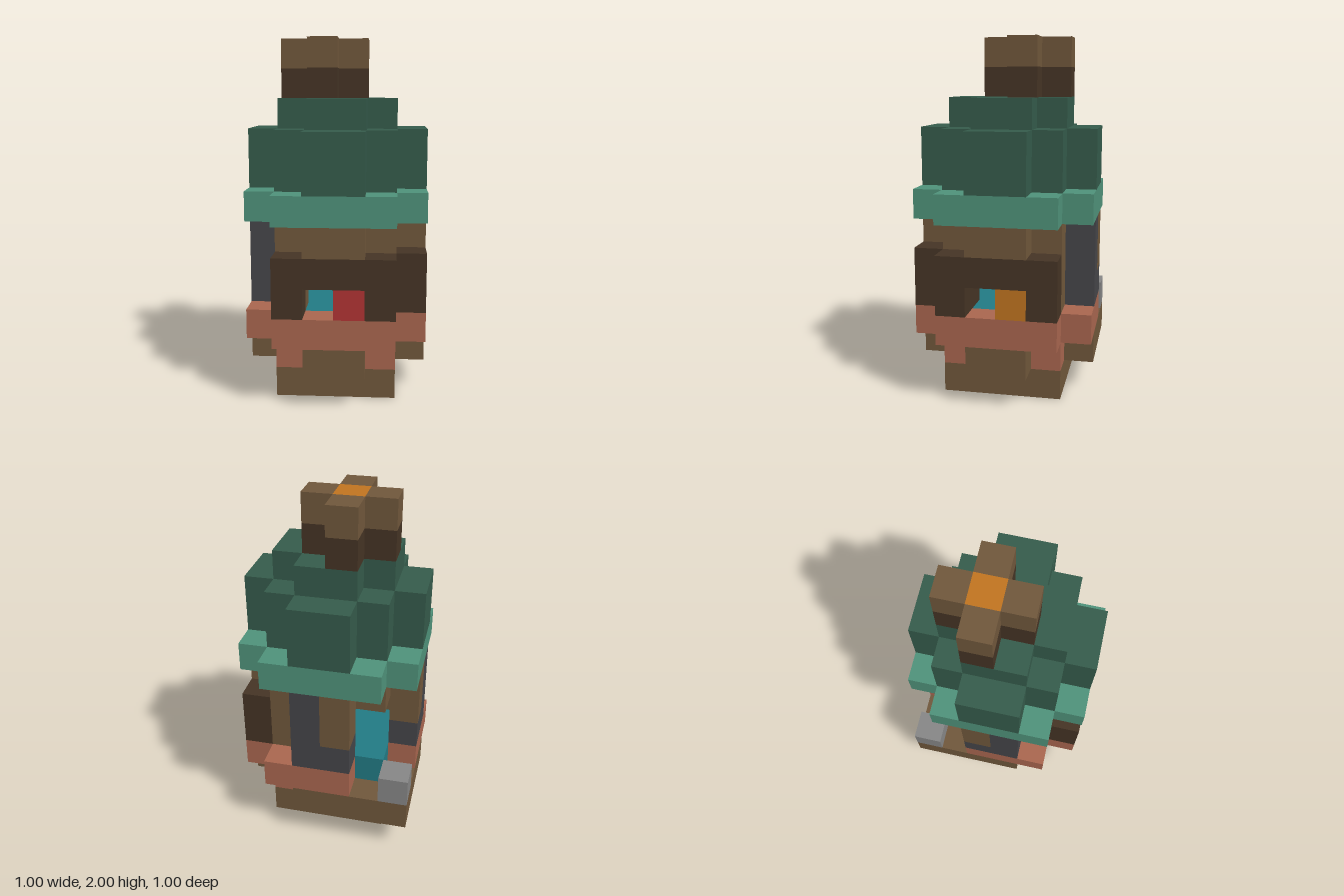
import * as THREE from 'three';

const U = 1 / 6; // one block

const mat = (name, color) => {
  const m = new THREE.MeshStandardMaterial({ color });
  m.name = name;
  return m;
};

export function createModel() {
  const root = new THREE.Group();
  root.name = 'blockTower';

  const brown = mat('brown wood', 0x70573b);
  const darkBrown = mat('dark brown wood', 0x453425);
  const green = mat('dark green roof', 0x355b4b);
  const mint = mat('light green trim', 0x4f927a);
  const clay = mat('clay', 0xa9664f);
  const slate = mat('dark grey stone', 0x454549);
  const grey = mat('light grey stone', 0x868686);
  const orange = mat('orange', 0xc07420);
  const red = mat('red', 0xb03434);
  const teal = mat('teal floor', 0x227a84);

  // Box from block ranges [from, to) in a 6 x 12 x 6 grid
  const box = (name, m, [x0, x1], [y0, y1], [z0, z1]) => {
    const g = new THREE.BoxGeometry((x1 - x0) * U, (y1 - y0) * U, (z1 - z0) * U);
    const mesh = new THREE.Mesh(g, m);
    mesh.name = name;
    mesh.position.set(((x0 + x1) / 2 - 3) * U, ((y0 + y1) / 2) * U, ((z0 + z1) / 2 - 3) * U);
    root.add(mesh);
  };
  // The same box twice, with x and z swapped for the second
  const pair = (name, m, a, y, b) => {
    box(name, m, a, y, b);
    box(name, m, b, y, a);
  };
  // Three corner posts; the fourth corner is the doorway
  const corners = (name, m, y) => {
    pair(name, m, [1, 2], y, [4, 5]);
    box(name, m, [4, 5], y, [4, 5]);
  };
  // Square core with four side bumps of the given span
  const cross = (name, m, y, span) => {
    box(name, m, [1, 5], y, [1, 5]);
    for (const edge of [[0, 1], [5, 6]]) pair(name + 'Side', m, span, y, edge);
  };

  // Base
  box('footing', brown, [1, 5], [0, 1], [1, 5]);
  box('baseCore', brown, [2, 4], [1, 2], [1, 5]);
  box('baseCoreRight', brown, [4, 5], [1, 2], [2, 4]);
  box('baseCoreLeft', brown, [1, 2], [1, 2], [1, 4]);
  pair('baseBump', brown, [2, 4], [1, 2], [5, 6]);
  box('doorstep', brown, [0, 4], [1, 2], [0, 1]);
  box('doorstep', brown, [0, 1], [1, 2], [1, 4]);
  corners('baseCorner', clay, [1, 2]);
  box('stepBlock', grey, [0, 1], [2, 3], [0, 1]);

  // Floor and clay ledge
  box('floor', teal, [1, 5], [2, 3], [1, 5]);
  pair('ledge', clay, [1, 5], [2, 3], [5, 6]);
  pair('ledgeByDoor', clay, [2, 5], [2, 3], [0, 1]);

  // Dark walls with a window gap on the front and the side
  pair('wallLower', darkBrown, [1, 2], [3, 4], [5, 6]);
  pair('wallLower', darkBrown, [4, 5], [3, 4], [5, 6]);
  pair('wallUpper', darkBrown, [1, 5], [4, 5], [5, 6]);
  box('wallCorner', darkBrown, [4, 5], [3, 5], [4, 5]);
  box('frontShutter', red, [3, 4], [3, 4], [5, 6]);
  box('sideShutter', orange, [5, 6], [3, 4], [2, 3]);

  // Brown band under the roof, back posts and doorway
  pair('wallPost', brown, [1, 2], [3, 6], [4, 5]);
  box('wallPost', brown, [4, 5], [5, 6], [4, 5]);
  pair('band', brown, [2, 4], [5, 6], [5, 6]);
  pair('stonePillar', slate, [3, 4], [3, 6], [0, 1]);
  pair('stoneFoot', slate, [2, 3], [3, 4], [0, 1]);
  pair('doorPost', brown, [2, 3], [4, 6], [0, 1]);
  box('doorLintel', brown, [1, 2], [5, 6], [1, 2]);

  // Roof
  cross('roofTrim', mint, [6, 7], [1, 5]);
  cross('roof', green, [7, 9], [2, 4]);
  box('roofCap', green, [1, 5], [9, 10], [2, 4]);
  for (const z of [[1, 2], [4, 5]]) box('roofCapSide', green, [2, 4], [9, 10], z);

  // Chimney
  box('chimneyCore', darkBrown, [2, 3], [10, 11], [2, 3]);
  box('chimneyGlow', orange, [2, 3], [11, 12], [2, 3]);
  for (const side of [[1, 2], [3, 4]]) {
    pair('chimneyLower', darkBrown, side, [10, 11], [2, 3]);
    pair('chimneyUpper', brown, side, [11, 12], [2, 3]);
  }

  return root;
}
